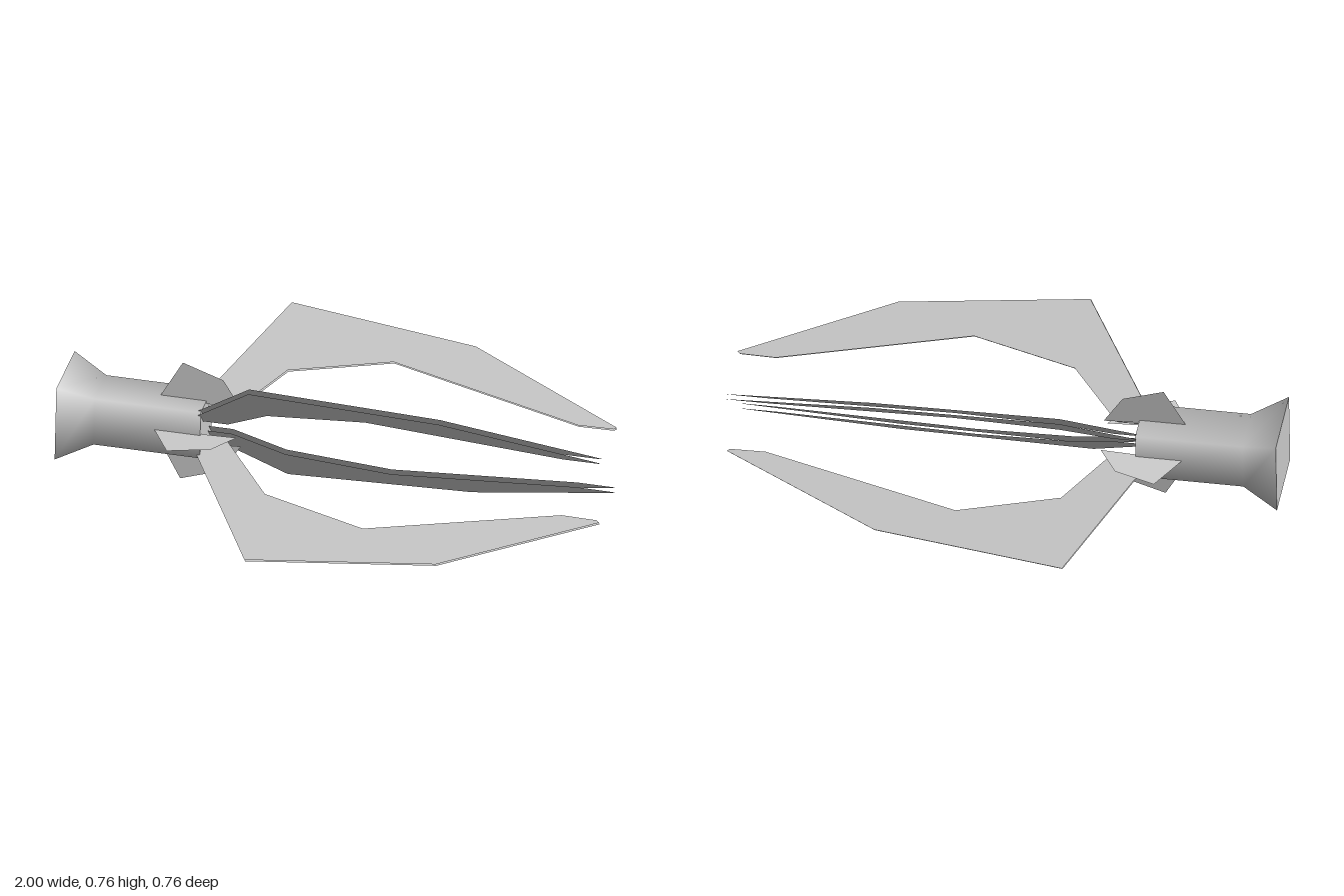
import * as THREE from 'three';

const TWIST = THREE.MathUtils.degToRad(50.3); // roll of the square body about its long axis
const AXIS_Y = 0.378;

export function createModel() {
  const model = new THREE.Group();
  model.name = 'clawedLauncher';
  const grey = new THREE.MeshStandardMaterial({ color: 0xcccccc, side: THREE.DoubleSide });
  grey.name = 'grey';

  const core = new THREE.Group();
  core.name = 'core';
  core.position.y = AXIS_Y;
  model.add(core);

  const add = (geometry, name, parent = core) => {
    const mesh = new THREE.Mesh(geometry, grey);
    mesh.name = name;
    parent.add(mesh);
    return mesh;
  };

  // Square shaft with a flared tail, softly shaded round its corners
  const profile = [[0.205, -1], [0.131, -0.87], [0.131, -0.48]].map(p => new THREE.Vector2(...p));
  add(new THREE.LatheGeometry(profile, 4, -TWIST).rotateZ(-Math.PI / 2), 'shaft');

  // Flat ends
  const cap = (radius, x, dir, name) => {
    const g = new THREE.CircleGeometry(radius, 4);
    g.rotateY(dir * Math.PI / 2);
    g.rotateX(-TWIST);
    add(g.translate(x, 0, 0), name);
  };
  cap(0.205, -1, -1, 'tailCap');
  cap(0.131, -0.48, 1, 'frontCap');

  // Outlines as (position along the shaft, distance from the axis)
  const sheet = points => new THREE.ShapeGeometry(
    new THREE.Shape(points.map(p => new THREE.Vector2(...p))));
  const clawOutline = [[-0.5, 0.11], [-0.25, 0.487], [0.44, 0.412], [1, 0.18], [0.99, 0.172],
    [0.86, 0.17], [0.155, 0.315], [-0.22, 0.234], [-0.39, 0.057], [-0.49, 0.057]];
  const finOutline = [[-0.65, 0.09], [-0.57, 0.236], [-0.42, 0.185], [-0.35, 0.075]];

  for (let i = 0; i < 4; i++) {
    const roll = Math.PI / 2 - TWIST + i * Math.PI / 2;

    // Claws: twin thin sheets along each corner
    const claw = new THREE.Group();
    claw.name = 'claw' + (i + 1);
    claw.rotation.x = roll;
    core.add(claw);
    for (const side of [-1, 1]) {
      add(sheet(clawOutline).translate(0, 0, side * 0.009), 'clawBlade', claw);
    }

    // Fins: one thin sheet on each flat side
    add(sheet(finOutline), 'fin' + (i + 1)).rotation.x = roll + Math.PI / 4;
  }
  return model;
}
